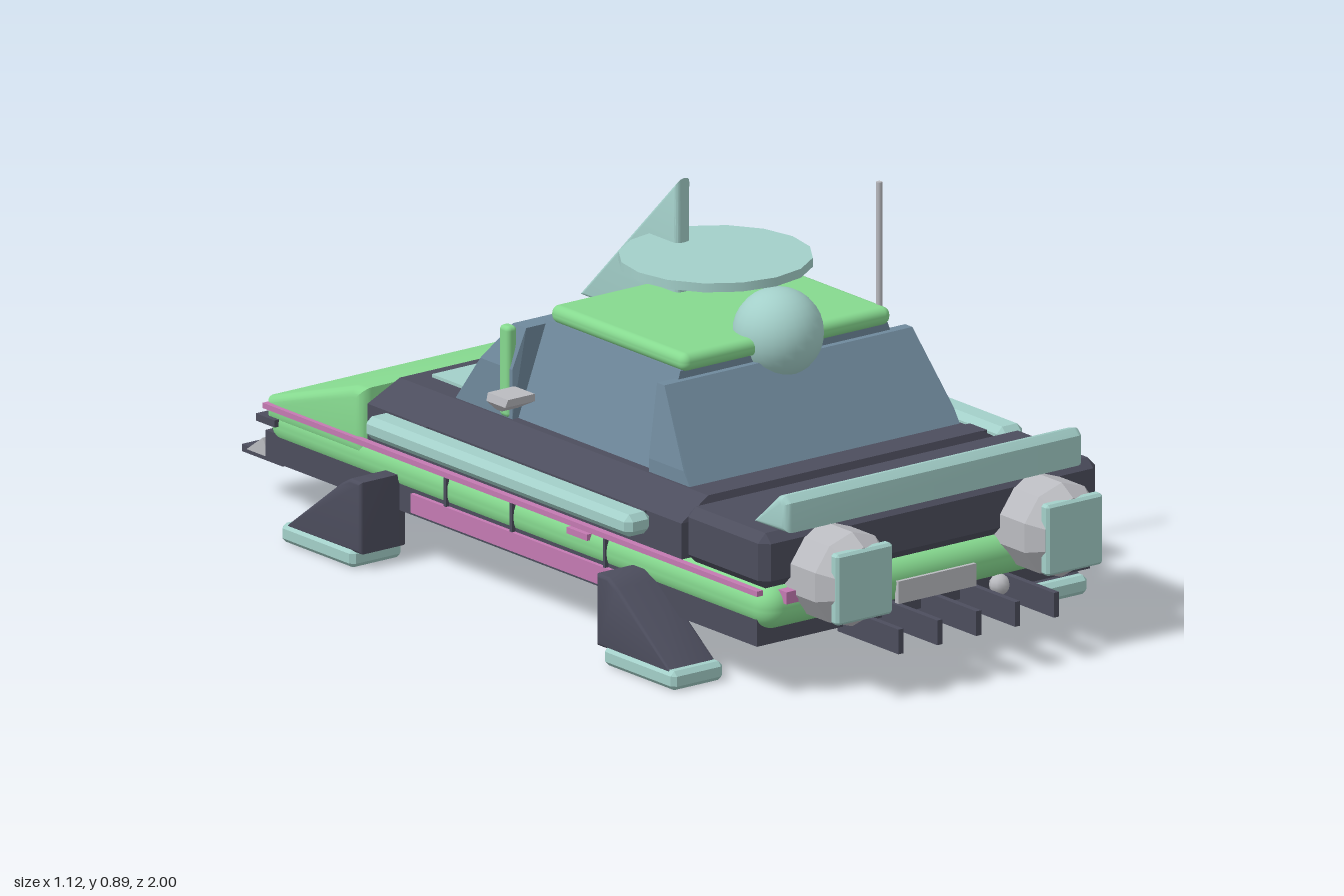
import * as THREE from 'three';
import { toCreasedNormals } from 'three/addons/utils/BufferGeometryUtils.js';
import { RoundedBoxGeometry } from 'three/addons/geometries/RoundedBoxGeometry.js';
import { ConvexGeometry } from 'three/addons/geometries/ConvexGeometry.js';

const mat = (name, color) => {
  const m = new THREE.MeshStandardMaterial({ color });
  m.name = name;
  return m;
};

// Box given by its limits
const box = (x0, x1, y0, y1, z0, z1) =>
  new THREE.BoxGeometry(x1 - x0, y1 - y0, z1 - z0)
    .translate((x0 + x1) / 2, (y0 + y1) / 2, (z0 + z1) / 2);

const rounded = (x0, x1, y0, y1, z0, z1, r) =>
  new RoundedBoxGeometry(x1 - x0, y1 - y0, z1 - z0, 4, r)
    .translate((x0 + x1) / 2, (y0 + y1) / 2, (z0 + z1) / 2);

// Box with flat cut edges
function chamfered(x0, x1, y0, y1, z0, z1, c) {
  const pts = [];
  for (const [x, sx] of [[x0, c], [x1, -c]])
    for (const [y, sy] of [[y0, c], [y1, -c]])
      for (const [z, sz] of [[z0, c], [z1, -c]])
        pts.push(new THREE.Vector3(x, y + sy, z + sz),
          new THREE.Vector3(x + sx, y, z + sz),
          new THREE.Vector3(x + sx, y + sy, z));
  return new ConvexGeometry(pts);
}

// Solid through rectangular levels [y, half width, zBack, zFront]
function levels(rows) {
  const pts = [];
  for (const [y, x, za, zb] of rows)
    for (const sx of [-x, x])
      for (const z of [za, zb]) pts.push(new THREE.Vector3(sx, y, z));
  return new ConvexGeometry(pts);
}

// Side profile of [z, y] points, extruded across x, optionally with round edges
function profile(pts, width, bevel = 0) {
  const shape = new THREE.Shape(pts.map(([z, y]) => new THREE.Vector2(z, y)));
  const depth = width - 2 * bevel;
  const g = new THREE.ExtrudeGeometry(shape, {
    depth, bevelEnabled: bevel > 0, bevelThickness: bevel, bevelSize: bevel,
    bevelOffset: -bevel, bevelSegments: 4
  });
  g.translate(0, 0, -depth / 2).rotateY(-Math.PI / 2);
  return toCreasedNormals(g, 0.6);
}

export function createModel() {
  const model = new THREE.Group();
  model.name = 'hoverVehicle';
  const dark = mat('dark slate', 0x4c4d5d);
  const green = mat('light green', 0x86d98f);
  const teal = mat('pale teal', 0xa3cfc9);
  const glass = mat('blue grey glass', 0x6f899c);
  const pink = mat('pink', 0xc47ab2);
  const grey = mat('light grey', 0xbabbc0);
  const tan = mat('tan', 0xb99f7c);

  const add = (name, geometry, material) => {
    const m = new THREE.Mesh(geometry, material);
    m.name = name;
    model.add(m);
    return m;
  };

  // Hull
  add('underbody', box(-0.45, 0.45, 0.115, 0.18, -0.88, 0.81), dark);
  add('hullBand', rounded(-0.455, 0.455, 0.15, 0.247, -0.88, 0.85, 0.045), green);
  add('hood', chamfered(-0.455, 0.455, 0.245, 0.368, 0.56, 0.84, 0.02), dark);
  add('midDeck', levels([[0.245, 0.45, -0.53, 0.55], [0.325, 0.45, -0.53, 0.55],
    [0.37, 0.37, -0.52, 0.54]]), dark);
  add('rearDeck', profile([[-0.54, 0.2], [-0.54, 0.355], [-0.58, 0.352],
    [-0.88, 0.255], [-0.88, 0.2]], 0.91, 0.024), green);
  add('rearRim', box(-0.465, 0.465, 0.2, 0.216, -0.895, -0.83), dark);
  add('rearDeckPanel', box(-0.315, 0.315, 0.365, 0.377, -0.48, -0.32), teal);

  // Cabin
  add('cabin', levels([[0.365, 0.35, -0.15, 0.34], [0.578, 0.28, -0.135, 0.33]]), glass);
  add('windshield', levels([[0.37, 0.365, 0.33, 0.47], [0.4, 0.365, 0.33, 0.45],
    [0.56, 0.335, 0.32, 0.345]]), glass);
  add('rearWindow', levels([[0.37, 0.365, -0.335, -0.14], [0.48, 0.365, -0.25, -0.14],
    [0.57, 0.335, -0.175, -0.13]]), glass);
  add('roof', rounded(-0.282, 0.282, 0.575, 0.615, -0.12, 0.345, 0.018), green);

  // Roof equipment
  add('radarDisc', new THREE.CylinderGeometry(0.208, 0.208, 0.02, 16)
    .translate(0, 0.715, 0.095), teal);
  add('sensorBall', new THREE.SphereGeometry(0.098, 24, 16).translate(0, 0.605, 0.31), teal);
  add('tailFin', profile([[-0.013, 0.527], [-0.013, 0.868], [-0.357, 0.527]], 0.038, 0.016), teal);
  add('antenna', new THREE.CylinderGeometry(0.007, 0.007, 0.32, 8)
    .translate(0.273, 0.727, 0.31), grey);

  // Nose
  add('noseSpoiler', profile([[0.73, 0.366], [0.85, 0.366], [0.85, 0.432],
    [0.835, 0.447], [0.815, 0.442]], 0.806, 0.016), teal);
  add('frontPlate', box(-0.105, 0.105, 0.155, 0.205, 0.845, 0.858), grey);
  add('towEye', new THREE.SphereGeometry(0.023, 10, 8).translate(0.19, 0.135, 0.83), grey);
  for (let i = -2; i <= 2; i++) {
    const x = i * 0.105;
    add('frontTine', box(x - 0.007, x + 0.007, 0.1, 0.155, 0.79, 1), dark);
  }

  // Tail
  add('rearBumper', box(-0.42, 0.42, 0.097, 0.113, -1, -0.86), dark);
  add('rearBumperTrim', profile([[-0.965, 0.113], [-0.9, 0.113], [-0.895, 0.128],
    [-0.91, 0.152]], 0.87), grey);
  add('rearPlate', box(-0.13, 0.13, 0.155, 0.22, -0.908, -0.87), dark);

  // Paired parts
  for (const s of [-1, 1]) {
    const side = (name, geometry, material) => add(name, geometry, material);
    const span = (a, b) => (s > 0 ? [a, b] : [-b, -a]);

    const lamp = toCreasedNormals(new THREE.LatheGeometry(
      [[0, 0.8], [0.105, 0.8], [0.105, 0.925], [0.08, 0.965], [0, 0.965]]
        .map(([r, z]) => new THREE.Vector2(r, z)), 10), 0.3);
    side('headlight', lamp.rotateX(Math.PI / 2).translate(s * 0.283, 0.262, 0), grey);
    side('headlightLens', chamfered(...span(0.208, 0.36), 0.182, 0.34, 0.945, 0.972, 0.006), teal);
    side('frontMarker', box(...span(0.375, 0.408), 0.213, 0.24, 0.83, 0.858), pink);
    side('tailLight', box(...span(0.21, 0.4), 0.212, 0.245, -0.898, -0.87), tan);

    side('sideRail', chamfered(...span(0.47, 0.538), 0.289, 0.338, -0.435, 0.478, 0.014), teal);
    for (const z of [-0.35, 0.4])
      side('railBracket', box(...span(0.44, 0.48), 0.3, 0.325, z - 0.03, z + 0.03), dark);
    side('upperTrim', box(...span(0.45, 0.466), 0.234, 0.246, -0.87, 0.83), pink);
    side('lowerTrim', box(...span(0.44, 0.46), 0.124, 0.166, -0.37, 0.345), pink);
    side('doorHandle', box(...span(0.45, 0.462), 0.212, 0.226, 0.17, 0.24), pink);
    for (const z of [0.295, -0.025, -0.253])
      side('doorSeam', box(...span(0.45, 0.459), 0.165, 0.235, z - 0.004, z + 0.004), dark);

    side('windowPost', rounded(...span(0.343, 0.37), 0.37, 0.573, -0.182, -0.148, 0.01), green);
    side('mirror', levels([[0.405, 0.022, -0.13, -0.11], [0.425, 0.04, -0.14, -0.075],
      [0.443, 0.036, -0.14, -0.07]]).translate(s * 0.395, 0, 0), grey);

    // Landing legs and feet, front and rear
    for (const d of [1, -1]) {
      const shift = d > 0 ? 0 : -0.03;
      const leg = [[0.39, 0.035], [0.65, 0.035], [0.46, 0.178], [0.43, 0.195], [0.39, 0.195]]
        .map(([z, y]) => [d * z + shift, y]);
      side('landingLeg', profile(leg, 0.125, 0.008).translate(s * 0.493, 0, 0), dark);
      const [za, zb] = d > 0 ? [0.42, 0.665] : [-0.69, -0.44];
      side('landingFoot', chamfered(...span(0.423, 0.562), 0, 0.042, za, zb, 0.01), teal);
    }
  }
  return model;
}
